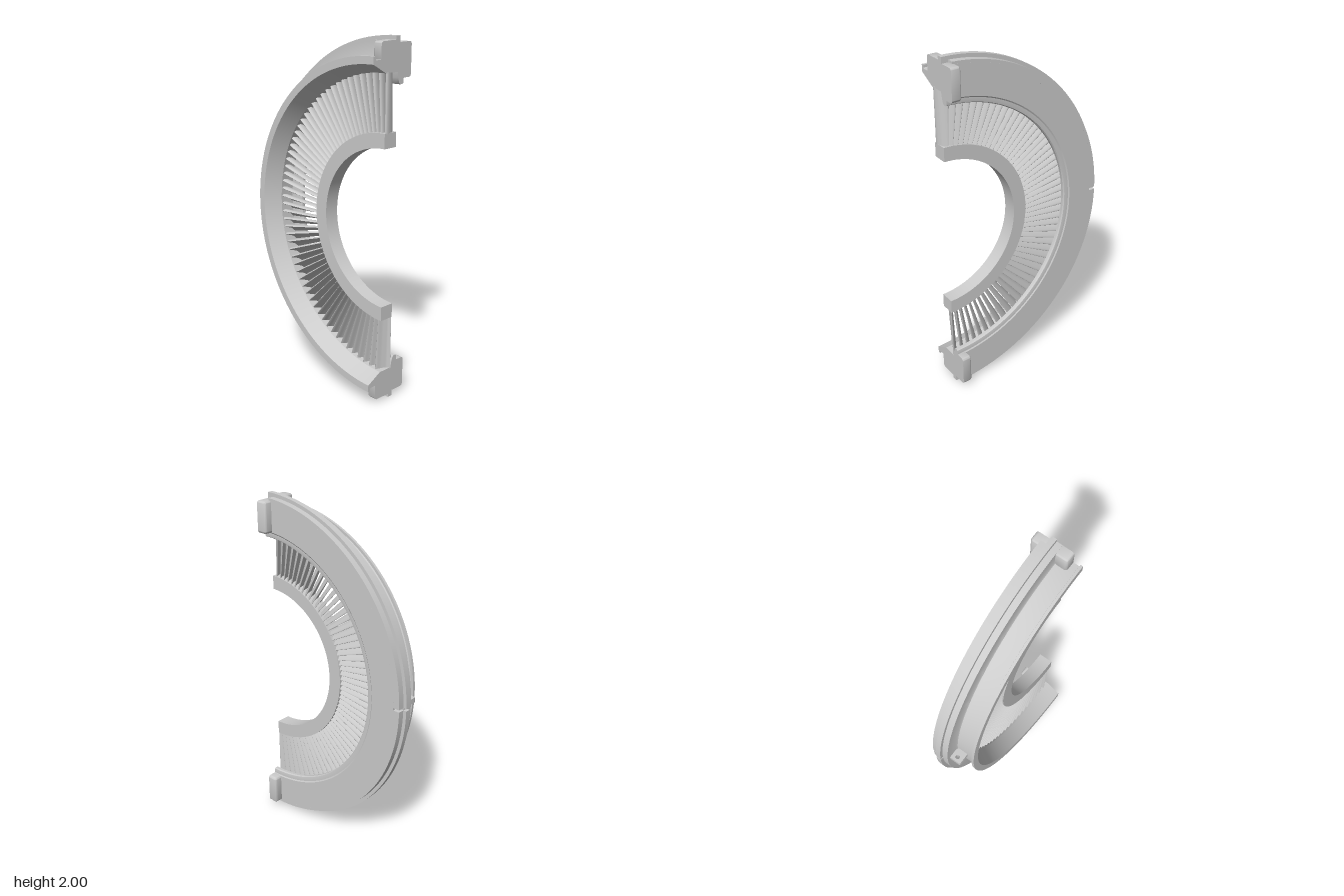
import * as THREE from 'three';
import { toCreasedNormals } from 'three/addons/utils/BufferGeometryUtils.js';
import { RoundedBoxGeometry } from 'three/addons/geometries/RoundedBoxGeometry.js';

const CY = 1, CZ = 0.5; // the ring axis runs along x through this point
const MID = Math.PI / 2;

export function createModel() {
  const group = new THREE.Group();
  const grey = new THREE.MeshStandardMaterial({ color: 0xcccccc });

  function add(name, geometry, parent = group) {
    const mesh = new THREE.Mesh(geometry, grey);
    mesh.name = name;
    parent.add(mesh);
    return mesh;
  }

  // Sweeps a closed (x, radius) profile around the axis from angle a0 to a1, ends capped
  function arc(points, a0 = 0, a1 = Math.PI) {
    const shape = new THREE.Shape(points.map(([x, r]) => new THREE.Vector2(x, r)));
    const steps = Math.max(2, Math.ceil((a1 - a0) / 0.033));
    const geo = new THREE.ExtrudeGeometry(shape, { depth: 1, steps, bevelEnabled: false });
    const p = geo.attributes.position;
    for (let i = 0; i < p.count; i++) {
      const r = p.getY(i), a = a1 - p.getZ(i) * (a1 - a0);
      p.setXYZ(i, p.getX(i), CY + r * Math.cos(a), CZ - r * Math.sin(a));
    }
    return toCreasedNormals(geo, 0.5);
  }
  const rect = (x0, x1, r0, r1) => [[x0, r0], [x1, r0], [x1, r1], [x0, r1]];

  // Outer ring with conical inlet, rear step and rounded inner lip
  add('outerRing', arc([
    [-0.14, 0.87], [-0.05, 0.82], [0.035, 0.82], [0.04, 0.79], [0.048, 0.764],
    [0.056, 0.755], [0.072, 0.755], [0.079, 0.76], [0.081, 0.772], [0.081, 0.785],
    [0.086, 0.792], [0.086, 0.94], [0.05, 0.94], [0.05, 0.98], [-0.015, 0.98],
    [-0.015, 0.905], [-0.019, 0.895], [-0.03, 0.89], [-0.12, 0.89], [-0.125, 0.895],
    [-0.125, 0.91], [-0.14, 0.91],
  ]));

  // Rim parts, split by the locating notch at mid arc; shoulder is recessed at the joint
  const gap = 0.007, recess = 0.04;
  for (const side of [0, 1]) {
    const half = (name, profile, start) => add(name, side
      ? arc(profile, MID + gap, Math.PI - start)
      : arc(profile, start, MID - gap));
    half('rimFlange', rect(0.02, 0.05, 0.98, 1), 0);
    half('rimShoulderInner', rect(0.05, 0.086, 0.94, 0.965), 0);
    half('rimShoulderOuter', rect(0.05, 0.086, 0.965, 0.98), recess);
  }

  // Inner ring
  add('innerRing', arc(rect(-0.05, 0.035, 0.435, 0.515)));

  // Guide vanes: cambered section, widening with radius
  const vaneShape = new THREE.Shape(new THREE.CatmullRomCurve3([
    [-0.045, -0.014], [-0.02, -0.006], [0.01, 0.004], [0.03, 0.02],
    [0.032, 0.018], [0.015, -0.006], [-0.01, -0.017], [-0.036, -0.02],
  ].map(([x, t]) => new THREE.Vector3(x, t, 0)), true).getPoints(24).slice(0, -1)
    .map((v) => new THREE.Vector2(v.x, v.y)));
  const r0 = 0.51, r1 = 0.825;
  const vane = new THREE.ExtrudeGeometry(vaneShape, { depth: r1 - r0, bevelEnabled: false });
  const vp = vane.attributes.position;
  for (let i = 0; i < vp.count; i++) {
    const r = r0 + vp.getZ(i);
    vp.setXYZ(i, vp.getX(i), r, -vp.getY(i) * r / 0.66);
  }
  const vaneGeo = toCreasedNormals(vane, 0.7);
  const vanes = new THREE.Group();
  vanes.name = 'guideVanes';
  group.add(vanes);
  const count = 55;
  for (let i = 0; i < count; i++) {
    const mesh = add('guideVane', vaneGeo, vanes);
    mesh.position.set(0, CY, CZ);
    mesh.rotation.x = -(i + 0.5) * Math.PI / count;
  }

  // Joint lugs on both faces, top and bottom, flattened at the split plane
  function lug(name, x0, x1, ra, rb, sign) {
    const geo = new RoundedBoxGeometry(x1 - x0, rb - ra, 0.1, 3, 0.015);
    geo.translate((x0 + x1) / 2, CY + sign * (ra + rb) / 2, 0.491);
    const p = geo.attributes.position;
    for (let i = 0; i < p.count; i++) p.setZ(i, Math.min(p.getZ(i), CZ));
    add(name, toCreasedNormals(geo, 0.6));
  }
  for (const sign of [1, -1]) {
    lug('frontLug', 0.04, 0.135, 0.787, 0.967, sign);
    lug('rearLug', -0.085, 0.01, 0.865, 0.979, sign);
  }

  // Lifting tab with a hole at mid arc
  const tab = new THREE.Shape();
  tab.moveTo(-0.082, 0.37);
  tab.lineTo(-0.005, 0.37);
  tab.lineTo(-0.005, 0.46);
  tab.lineTo(-0.074, 0.46);
  tab.quadraticCurveTo(-0.082, 0.46, -0.082, 0.452);
  tab.closePath();
  tab.holes.push(new THREE.Path().absarc(-0.048, 0.434, 0.012, 0, Math.PI * 2, true));
  const tabGeo = new THREE.ExtrudeGeometry(tab, { depth: 0.03, bevelEnabled: false, curveSegments: 20 });
  tabGeo.rotateX(-Math.PI / 2).translate(0, CY - 0.015, 0);
  add('liftingTab', toCreasedNormals(tabGeo, 0.6));

  return group;
}
